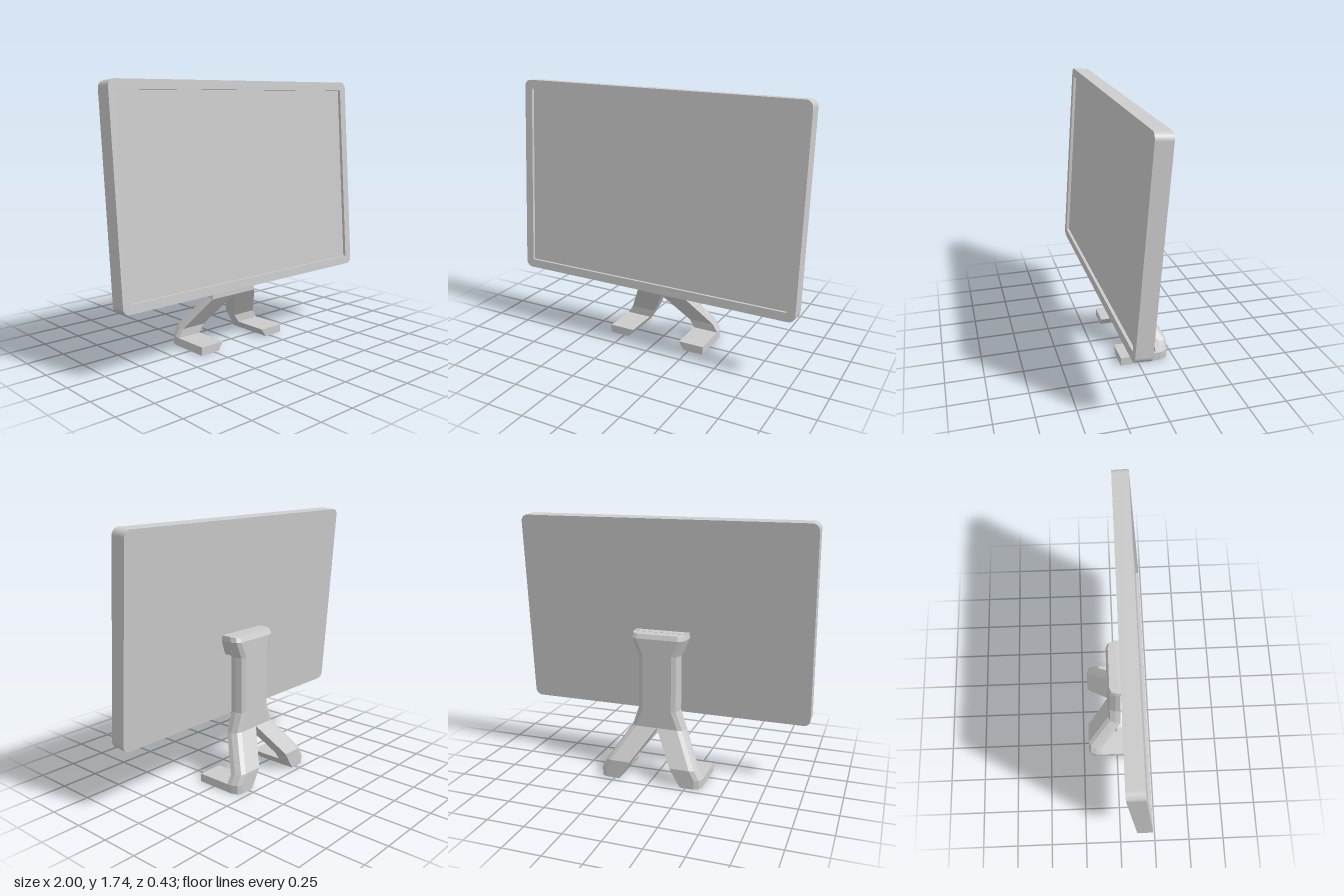
import * as THREE from 'three';

const grey = new THREE.MeshStandardMaterial({ color: 0xcccccc, flatShading: true });

// Closed loft through convex rings of [x, y, z] points
function loft(rings) {
  const pos = [];
  const tri = (a, b, c) => pos.push(...a, ...b, ...c);
  const n = rings[0].length;
  for (let r = 0; r < rings.length - 1; r++) {
    const a = rings[r], b = rings[r + 1];
    for (let i = 0; i < n; i++) {
      const j = (i + 1) % n;
      tri(a[i], a[j], b[j]);
      tri(a[i], b[j], b[i]);
    }
  }
  const first = rings[0], last = rings[rings.length - 1];
  for (let i = 1; i < n - 1; i++) {
    tri(first[0], first[i + 1], first[i]);
    tri(last[0], last[i], last[i + 1]);
  }
  const g = new THREE.BufferGeometry();
  g.setAttribute('position', new THREE.Float32BufferAttribute(pos, 3));
  g.computeVertexNormals();
  return g;
}

function add(parent, name, geometry) {
  const mesh = new THREE.Mesh(geometry, grey);
  mesh.name = name;
  parent.add(mesh);
  return mesh;
}

const mirrorRing = ring => ring.map(([x, y, z]) => [-x, y, z]).reverse();

// Outer edge from front to back, with a two-step chamfer at the back
function edge(x, yFront, yBack, zFront, depth = 0.09) {
  return [[0, 0], [0, 0.4], [0.015, 0.84], [0.045, 1]].map(([inset, t]) =>
    [x - inset, yFront + (yBack - yFront) * t, zFront - depth * t]);
}

function roundedRect(w, h, r) {
  const s = new THREE.Shape(), x = w / 2, y = h / 2;
  s.absarc(x - r, y - r, r, 0, Math.PI / 2);
  s.absarc(-x + r, y - r, r, Math.PI / 2, Math.PI);
  s.absarc(-x + r, -y + r, r, Math.PI, Math.PI * 1.5);
  s.absarc(x - r, -y + r, r, Math.PI * 1.5, Math.PI * 2);
  s.closePath();
  return s;
}

export function createModel() {
  const model = new THREE.Group();
  model.name = 'monitor';

  // Tilted display: solid body with a raised bezel around the screen
  const display = new THREE.Group();
  display.name = 'display';
  const W = 2, H = 1.32, D = 0.105, recess = 0.02;
  const extrude = (shape, depth) => new THREE.ExtrudeGeometry(shape,
    { depth, bevelEnabled: false, curveSegments: 4 });
  add(display, 'displayBody', extrude(roundedRect(W, H, 0.045), D - recess)).position.z = -D / 2;
  const frame = roundedRect(W, H, 0.045);
  const sx = 0.945, sy = 0.603;
  frame.holes.push(new THREE.Path([
    new THREE.Vector2(-sx, -sy), new THREE.Vector2(-sx, sy),
    new THREE.Vector2(sx, sy), new THREE.Vector2(sx, -sy)]));
  add(display, 'bezel', extrude(frame, recess)).position.z = D / 2 - recess;
  display.position.set(0, 1.073, 0.115);
  display.rotation.x = -0.075;
  model.add(display);

  // Neck: narrow in the middle, flared at both ends
  const neckRings = [
    [0.19, 0.32, 0.335, 0.03],
    [0.145, 0.46, 0.46, 0.03],
    [0.145, 0.84, 0.84, 0.03],
    [0.19, 0.95, 0.95, 0.03],
    [0.185, 0.985, 0.98, 0.03, 0.075],
  ].map(p => {
    const half = edge(...p);
    return [...half, ...mirrorRing(half)];
  });
  add(model, 'neck', loft(neckRings));

  // Mount joining the neck to the back of the display
  const mount = z => [
    [-0.15, 0.85, z], [0.15, 0.85, z], [0.19, 0.95, z],
    [0.185, 0.985, z], [-0.185, 0.985, z], [-0.19, 0.95, z]];
  add(model, 'mount', loft([mount(0.01), mount(0.078)]));

  // Splayed legs with flat feet reaching forward
  const legRings = [
    [0.215, 0.355, 0, 0, -0.12],
    [0.178, 0.355, 0.055, 0.06, -0.12],
    [0.141, 0.32, 0.11, 0.125, -0.12],
    [0, 0.19, 0.32, 0.335, 0.03],
  ].map(([inner, outer, yF, yB, z]) =>
    [...edge(outer, yF, yB, z), [inner, yB, z - 0.09], [inner, yF, z]]);
  const foot = z => [[0.215, 0, z], [0.355, 0, z], [0.355, 0.055, z], [0.178, 0.055, z]];
  const footRings = [foot(-0.122), foot(0.12)];
  for (const [side, place] of [['left', r => r], ['right', mirrorRing]]) {
    add(model, side + 'Leg', loft(legRings.map(place)));
    add(model, side + 'Foot', loft(footRings.map(place)));
  }
  return model;
}
